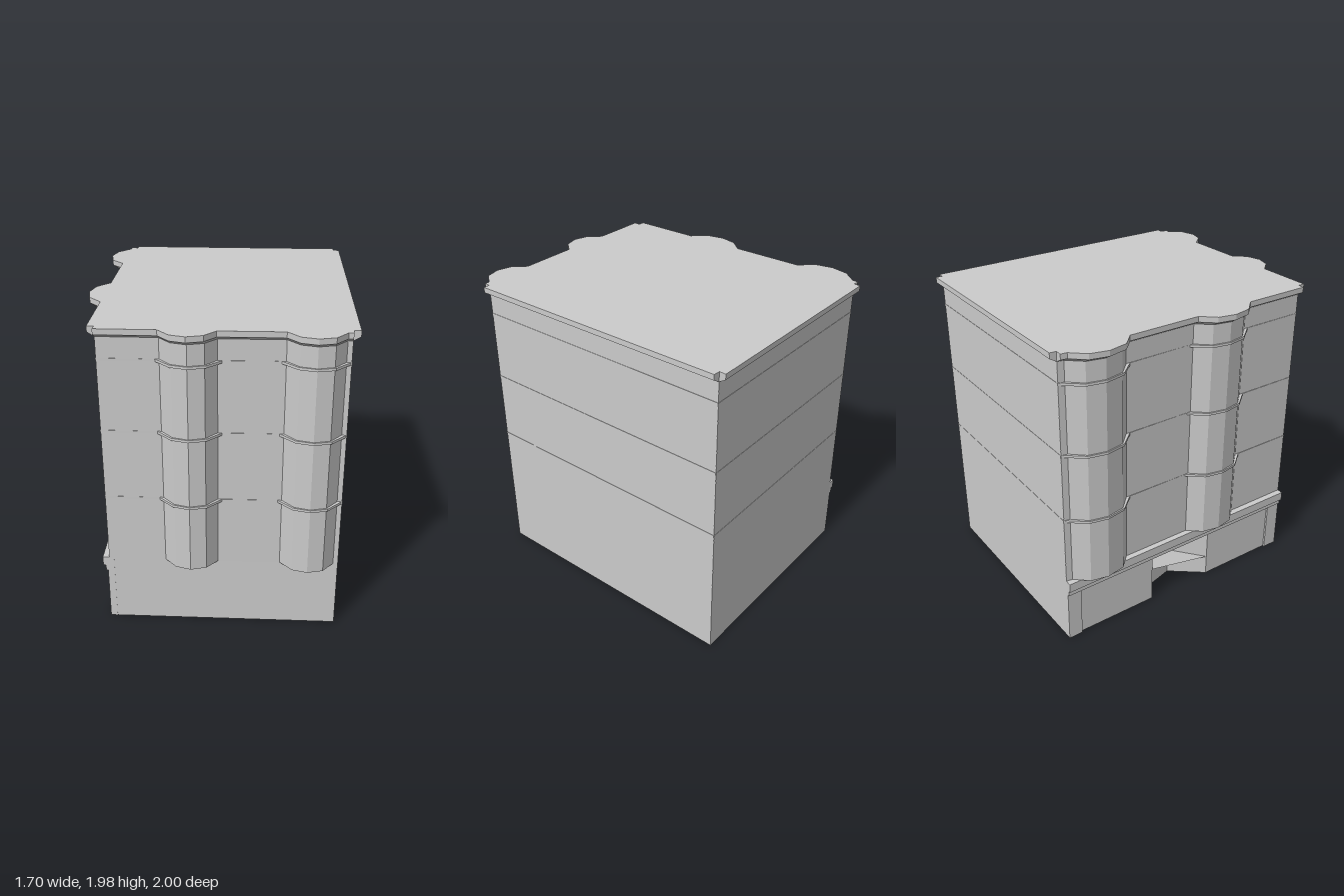
import * as THREE from 'three';

const flat = new THREE.MeshStandardMaterial({ color: 0xcccccc, flatShading: true });
const open = new THREE.MeshStandardMaterial({ color: 0xcccccc, flatShading: true, side: THREE.DoubleSide });

// Plan points [x, z] of each wall, running clockwise as seen from above
const backLeft = [-0.715, -0.875], backRight = [0.713, -0.956];
const frontRight = [0.808, 0.8], frontLeft = [-0.62, 0.88];
const corners = [backLeft, backRight, frontRight, frontLeft];
const frontBays = [
  [0.779, 0.80], [0.715, 0.885], [0.62, 0.915], [0.525, 0.895], [0.447, 0.82],
  [0.065, 0.845], [0.002, 0.925], [-0.093, 0.957], [-0.187, 0.935], [-0.263, 0.86],
];
const leftBays = [
  [-0.645, 0.44], [-0.73, 0.36], [-0.759, 0.245], [-0.741, 0.13], [-0.67, 0.04],
  [-0.695, -0.435], [-0.78, -0.51], [-0.81, -0.63], [-0.79, -0.745], [-0.718, -0.835],
];

// Each wall line pushed straight outward by d, leaving notched corners;
// spread widens the feet of the bays and bulge deepens their faces
function outline(d, spread = 0, bulge = 0) {
  const side = [1, 0.3, 0, -0.3, -1].map((s) => s * spread);
  const deep = [0, 1, 1, 1, 0].map((s) => s * bulge);
  const front = frontBays.map(([x, z], i) => [x + side[i % 5], z + deep[i % 5]]);
  const left = leftBays.map(([x, z], i) => [x - deep[i % 5], z + side[i % 5]]);
  const walls = [
    [[backLeft, backRight], 0, -1],
    [[backRight, frontRight], 1, 0],
    [[frontRight, ...front, frontLeft], 0, 1],
    [[frontLeft, ...left, backLeft], -1, 0],
  ];
  const pts = [];
  for (const [line, nx, nz] of walls) {
    for (const [x, z] of line) pts.push([x + nx * d, z + nz * d]);
    pts.push(line[line.length - 1]);
  }
  return pts;
}

function addCap(out, pts, y, up) {
  const contour = pts.map(([x, z]) => new THREE.Vector2(x, z));
  for (const [i, j, k] of THREE.ShapeUtils.triangulateShape(contour, [])) {
    const [a, b, c] = [pts[i], pts[j], pts[k]];
    const facesUp = (b[1] - a[1]) * (c[0] - a[0]) - (b[0] - a[0]) * (c[1] - a[1]) > 0;
    for (const p of facesUp === up ? [a, b, c] : [a, c, b]) out.push(p[0], y, p[1]);
  }
}

function toMesh(name, positions, material) {
  const geo = new THREE.BufferGeometry();
  geo.setAttribute('position', new THREE.Float32BufferAttribute(positions, 3));
  geo.computeVertexNormals();
  const mesh = new THREE.Mesh(geo, material);
  mesh.name = name;
  return mesh;
}

// Walls between stacked plan sections [points, y], optionally capped
function loft(name, sections, capped = true, material = flat) {
  const out = [];
  for (let s = 0; s < sections.length - 1; s++) {
    const [lo, y0] = sections[s], [hi, y1] = sections[s + 1];
    lo.forEach((a, i) => {
      const j = (i + 1) % lo.length, b = lo[j], c = hi[i], e = hi[j];
      out.push(a[0], y0, a[1], c[0], y1, c[1], e[0], y1, e[1]);
      out.push(a[0], y0, a[1], e[0], y1, e[1], b[0], y0, b[1]);
    });
  }
  if (capped) {
    const last = sections[sections.length - 1];
    addCap(out, sections[0][0], sections[0][1], false);
    addCap(out, last[0], last[1], true);
  }
  return toMesh(name, out, material);
}

// Slab along the shop side wall between two z values
const sideX = (z) => -0.62 - 0.095 * (0.88 - z) / 1.755;
function sideSlab(name, z0, z1, y0, y1, proud) {
  const pts = [
    [sideX(z0) - proud, z0], [sideX(z0) + 0.03, z0],
    [sideX(z1) + 0.03, z1], [sideX(z1) - proud, z1],
  ];
  return loft(name, [[pts, y0], [pts, y1]]);
}

export function createModel() {
  const model = new THREE.Group();
  model.name = 'cornerBuilding';

  // Ground floor walls with an angled shop entrance cut into the left side
  const ground = [
    ...corners, [sideX(0.24), 0.24], [-0.5, 0.02], [-0.56, -0.165], [sideX(-0.225), -0.225],
  ];
  model.add(loft('groundFloorWalls', [[ground, 0], [ground, 0.39]], false, open));

  // Folded underside, rising to the shop's back corner
  const at = ([x, z], y) => [x, y, z];
  const raised = at(backLeft, 0.385);
  model.add(toMesh('underside', [
    at(frontRight, 0), at(frontLeft, 0), raised,
    at(frontRight, 0), raised, at(backRight, 0),
  ].flat(), open));

  // Storey joint and upper floors with faceted bays
  model.add(loft('bayBaseWall', [[corners, 0.39], [corners, 0.45]]));
  const body = outline(0.0005);
  model.add(loft('upperWalls', [[body, 0.45], [body, 1.92]]));

  // Thin string courses, almost flush on the walls and wrapping the bays
  const ring = outline(0.0025, 0.024, 0.006);
  for (const y of [0.89, 1.335, 1.785]) {
    model.add(loft('stringCourse', [[ring, y - 0.008], [ring, y + 0.008]]));
  }

  // Roof cornice with sloped underside
  const rim = outline(0.042);
  model.add(loft('roofCornice', [[body, 1.92], [rim, 1.945], [rim, 1.98]]));

  // Shop cornice, in two steps, and end pilasters
  model.add(sideSlab('shopCorniceLower', -0.875, 0.88, 0.35, 0.39, 0.025));
  model.add(sideSlab('shopCorniceUpper', -0.875, 0.88, 0.39, 0.45, 0.042));
  model.add(sideSlab('shopPilaster', -0.875, -0.78, 0, 0.35, 0.013));
  model.add(sideSlab('shopPilaster', 0.78, 0.88, 0, 0.35, 0.013));
  return model;
}
